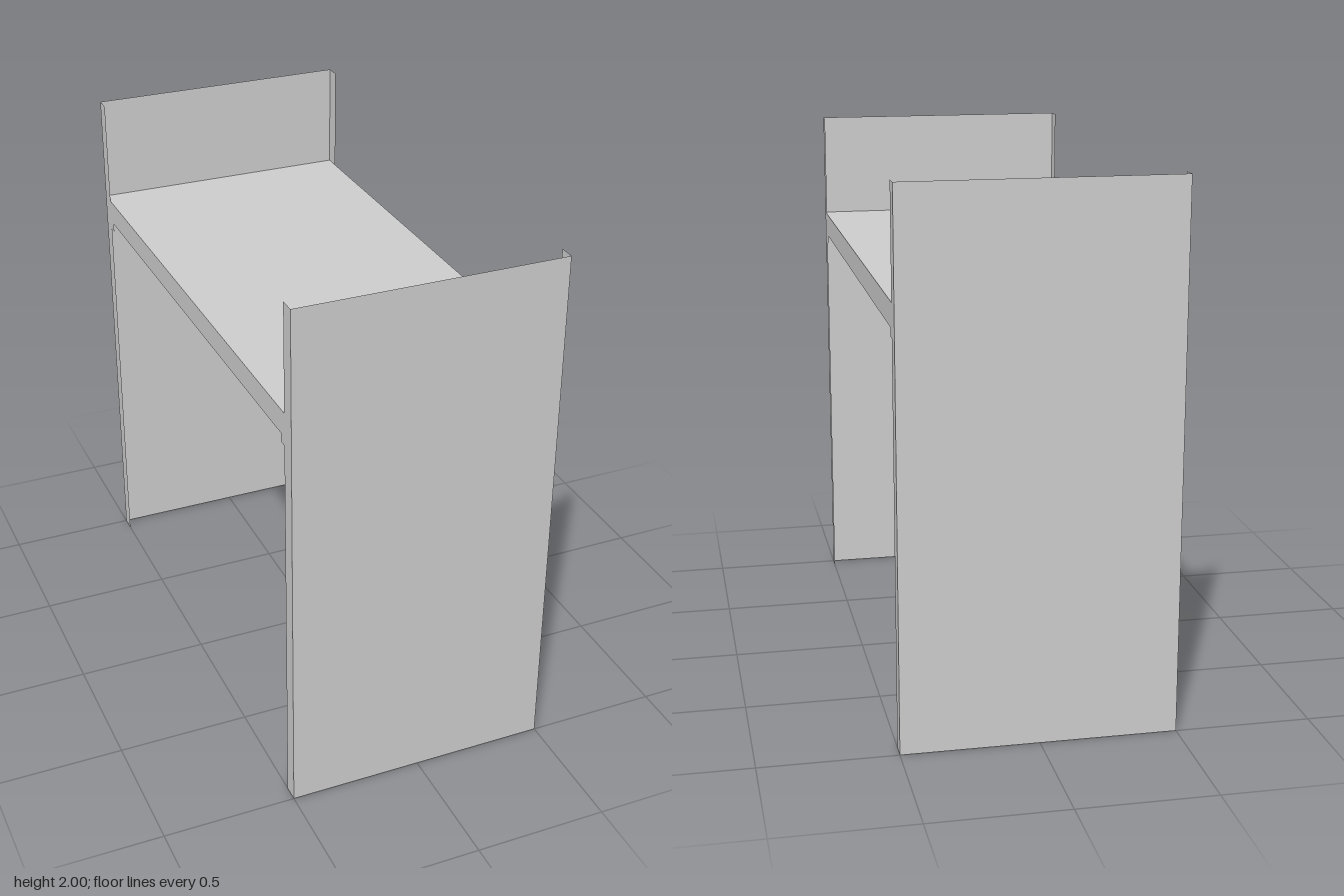
import * as THREE from 'three';

const W = 1, H = 2, D = 2;       // overall size
const SHELF_Y = 1.595;           // height of the deck

export function createModel() {
  const group = new THREE.Group();
  const material = new THREE.MeshStandardMaterial({ color: 0xcccccc, side: THREE.DoubleSide });
  const add = (name, geometry) => {
    const mesh = new THREE.Mesh(geometry, material);
    mesh.name = name;
    group.add(mesh);
    return mesh;
  };

  // H-shaped side outline: half of it, mirrored, with a small stepped bracket under the deck
  const half = [
    [0.91, 1.505], [0.91, 1.473], [0.94, 1.473], [0.94, 0],
    [1, 0], [1, H], [0.94, H], [0.94, SHELF_Y],
  ];
  const mirrored = half.map(([z, y]) => [-z, y]).reverse();
  const outline = new THREE.Shape([...half, ...mirrored].map(([z, y]) => new THREE.Vector2(z, y)));

  // Thin side frames, outer face turned outwards
  for (const [name, side] of [['leftSideFrame', 1], ['rightSideFrame', -1]]) {
    const frame = add(name, new THREE.ShapeGeometry(outline));
    frame.rotation.y = side * Math.PI / 2;
    frame.position.x = side * W / 2;
  }

  // End sheets, open on the inside between the side frames
  for (const [name, side] of [['frontPanel', 1], ['backPanel', -1]]) {
    const panel = add(name, new THREE.PlaneGeometry(W, H));
    panel.rotation.y = side > 0 ? 0 : Math.PI;
    panel.position.set(0, H / 2, side * D / 2);
  }

  // Deck sheet reaching both end panels, open underneath
  const deck = add('deck', new THREE.PlaneGeometry(W, D));
  deck.rotation.x = -Math.PI / 2;
  deck.position.y = SHELF_Y;

  return group;
}
